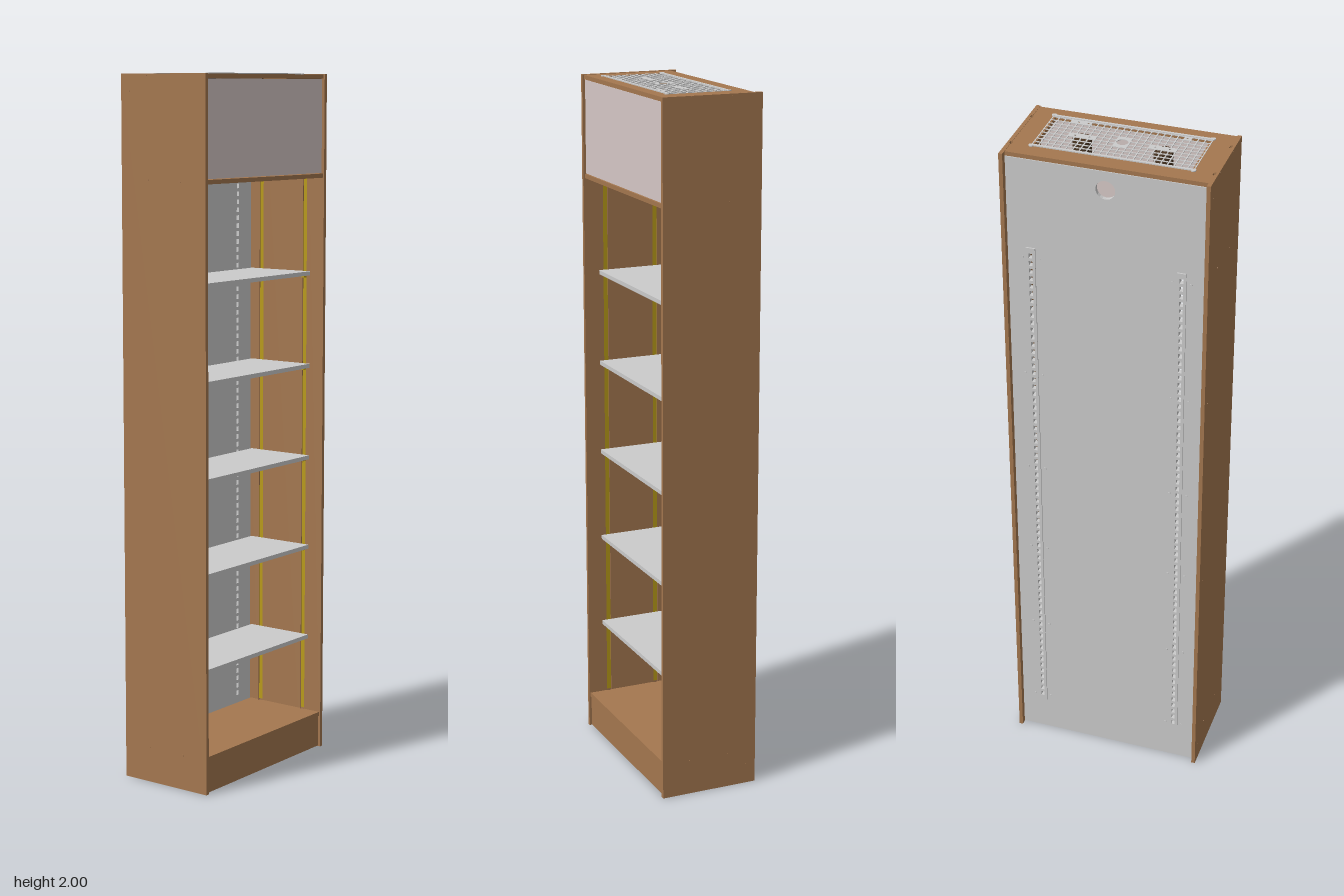
import * as THREE from 'three';

const mat = (color) => new THREE.MeshStandardMaterial({ color });

export function createModel() {
  const model = new THREE.Group();
  const wood = mat(0xa4774f);
  const grey = mat(0xcccccc);
  const brass = mat(0xb89a18);
  const glass = mat(0xd6c8c6);

  const add = (name, geometry, material, x = 0, y = 0, z = 0, parent = model) => {
    const mesh = new THREE.Mesh(geometry, material);
    mesh.name = name;
    mesh.position.set(x, y, z);
    parent.add(mesh);
    return mesh;
  };
  // Box given by its limits
  const box = (name, material, x0, x1, y0, y1, z0, z1) =>
    add(name, new THREE.BoxGeometry(x1 - x0, y1 - y0, z1 - z0), material,
      (x0 + x1) / 2, (y0 + y1) / 2, (z0 + z1) / 2);
  const shapeOf = (pts) => new THREE.Shape(pts.map(([x, y]) => new THREE.Vector2(x, y)));
  const rect = (x, y, w, h) => [
    [x - w / 2, y - h / 2], [x + w / 2, y - h / 2], [x + w / 2, y + h / 2], [x - w / 2, y + h / 2]];
  const rectHole = (shape, x, y, w, h) => shape.holes.push(shapeOf(rect(x, y, w, h)));
  const roundHole = (shape, x, y, r) =>
    shape.holes.push(new THREE.Path().absarc(x, y, r, 0, Math.PI * 2, true));
  const extrude = (shape, depth) =>
    new THREE.ExtrudeGeometry(shape, { depth, bevelEnabled: false, curveSegments: 10 });
  // Plan shape (x, -z) raised upwards
  const extrudeUp = (shape, depth) => extrude(shape, depth).rotateX(-Math.PI / 2);

  const X = 0.275, grooveZ = 0.078, gw = 0.007;

  // Side panels with two full-height grooves, brass strips and screw heads
  for (const s of [-1, 1]) {
    const pts = [[0.286, 0.147], [0.286, -0.144], [X, -0.144]];
    for (const v of [-grooveZ, grooveZ]) {
      pts.push([X, v - gw], [0.279, v - gw], [0.279, v + gw], [X, v + gw]);
    }
    pts.push([X, 0.147]);
    add('sidePanel', extrudeUp(shapeOf(pts.map(([x, y]) => [s * x, y])), 1.998), wood);
    for (const z of [-grooveZ, grooveZ]) {
      const strip = new THREE.BoxGeometry(0.001, 1.59, 2 * gw);
      add('shelfStrip', strip, brass, s * 0.2785, 0.905, z);
    }
    const screws = [[-0.12, 0.06], [-0.12, 0.7], [-0.12, 1.32], [-0.12, 1.95],
      [0.055, 1.71], [-0.055, 1.71], [0.06, 0.1], [-0.06, 0.1], [0.06, 1.992], [-0.06, 1.992]];
    for (const [z, y] of screws) {
      const head = new THREE.CylinderGeometry(0.004, 0.004, 0.001, 10).rotateZ(Math.PI / 2);
      add('sideScrew', head, wood, s * 0.286, y, z);
    }
  }

  // Horizontal boards, notched at the ends in line with the grooves
  const boardShape = (back, front) => {
    const half = [];
    for (const v of [-grooveZ, grooveZ]) {
      half.push([X, v - gw], [0.272, v - gw], [0.272, v + gw], [X, v + gw]);
    }
    const right = [[X, -front], ...half, [X, -back]];
    return shapeOf([...right, ...right.map(([x, y]) => [-x, y]).reverse()]);
  };
  const topShape = boardShape(-0.129, 0.14);
  rectHole(topShape, 0, -0.0125, 0.43, 0.172);
  add('topBoard', extrudeUp(topShape, 0.012), wood, 0, 1.985, 0);
  add('headerBoard', extrudeUp(boardShape(-0.115, 0.14), 0.012), wood, 0, 1.703, 0);
  add('bottomBoard', extrudeUp(boardShape(-0.115, 0.14), 0.012), wood, 0, 0.095, 0);

  // Plinth and upper front panel
  box('plinthFront', wood, -X, X, 0.002, 0.095, 0.126, 0.137);
  box('plinthBack', wood, -X, X, 0.002, 0.095, -0.115, -0.105);
  box('headerPanel', glass, -0.271, 0.271, 1.717, 1.984, 0.13, 0.138);

  // Back panel and slotted rails share the same rows of openings
  const slots = 68, pitch = 1.585 / slots;
  const cutSlots = (shape, x) => {
    for (let i = 0; i < slots; i++) rectHole(shape, x, 0.125 + (i + 0.5) * pitch, 0.01, 0.014);
  };
  const backShape = shapeOf(rect(0, 0.993, 2 * X, 1.982));
  roundHole(backShape, 0, 1.93, 0.027);
  for (const s of [-1, 1]) {
    cutSlots(backShape, s * 0.21);
    const rail = shapeOf(rect(s * 0.21, 0.917, 0.026, 1.61));
    cutSlots(rail, s * 0.21);
    add('backRail', extrude(rail, 0.004), grey, 0, 0, -0.134);
    // Screws beside each rail
    for (const y of [0.13, 0.42, 0.71, 1.0, 1.32, 1.69]) {
      for (const x of [0.185, 0.235]) {
        const head = new THREE.CylinderGeometry(0.004, 0.004, 0.002, 10).rotateX(Math.PI / 2);
        add('backScrew', head, grey, s * x, y, -0.131);
      }
    }
  }
  add('backPanel', extrude(backShape, 0.012), grey, 0, 0, -0.13);

  // Adjustable shelves on pegs
  for (const y of [0.335, 0.61, 0.88, 1.153, 1.425]) {
    box('shelf', grey, -0.271, 0.271, y - 0.006, y + 0.006, -0.11, 0.1);
    for (const s of [-1, 1]) for (const z of [-grooveZ, grooveZ]) {
      add('shelfPeg', new THREE.BoxGeometry(0.014, 0.007, 0.01), brass, s * 0.271, y - 0.0095, z);
    }
  }

  // Ventilation grille: 24 x 9 square openings with solid mounting plates
  const grille = new THREE.Group();
  grille.name = 'grille';
  grille.position.set(0, 1.996, 0.012);
  model.add(grille);
  const cell = 0.0184, hole = 0.0152;
  const mesh = shapeOf(rect(0, 0, 0.444, 0.184));
  for (let i = -11.5; i <= 11.5; i++) {
    for (let j = -4; j <= 4; j++) {
      const centre = Math.abs(i) < 1 && Math.abs(j) <= 1;
      const lampPlate = j === 0 && Math.abs(i) > 4 && Math.abs(i) < 8;
      const frontPlate = j === -4 && (i === -8.5 || (i > 6 && i < 9));
      if (!centre && !lampPlate && !frontPlate) rectHole(mesh, i * cell, j * cell, hole, hole);
    }
  }
  roundHole(mesh, 0, 0, 0.016);
  for (const x of [-0.13, -0.09, 0.09, 0.13]) roundHole(mesh, x, 0, 0.003);
  for (const x of [-0.155, 0.118, 0.145]) roundHole(mesh, x, -4 * cell, 0.003);
  add('grilleMesh', extrudeUp(mesh, 0.002), grey, 0, 0, 0, grille);
  for (const sz of [-1, 1]) {
    add('grilleRim', new THREE.BoxGeometry(0.44, 0.003, 0.008), grey, 0, 0.0025, sz * 0.088, grille);
    for (const sx of [-1, 1]) {
      const tab = new THREE.CylinderGeometry(0.007, 0.007, 0.003, 16);
      add('grilleTab', tab, grey, sx * 0.22, 0.0025, sz * 0.09, grille);
    }
  }
  // Lamp housings hung beneath the grille
  for (const s of [-1, 1]) {
    const lamp = new THREE.CylinderGeometry(0.026, 0.026, 0.05, 16);
    add('lampHousing', lamp, mat(0x4a3522), s * 0.112, -0.03, 0.002, grille);
  }
  return model;
}
